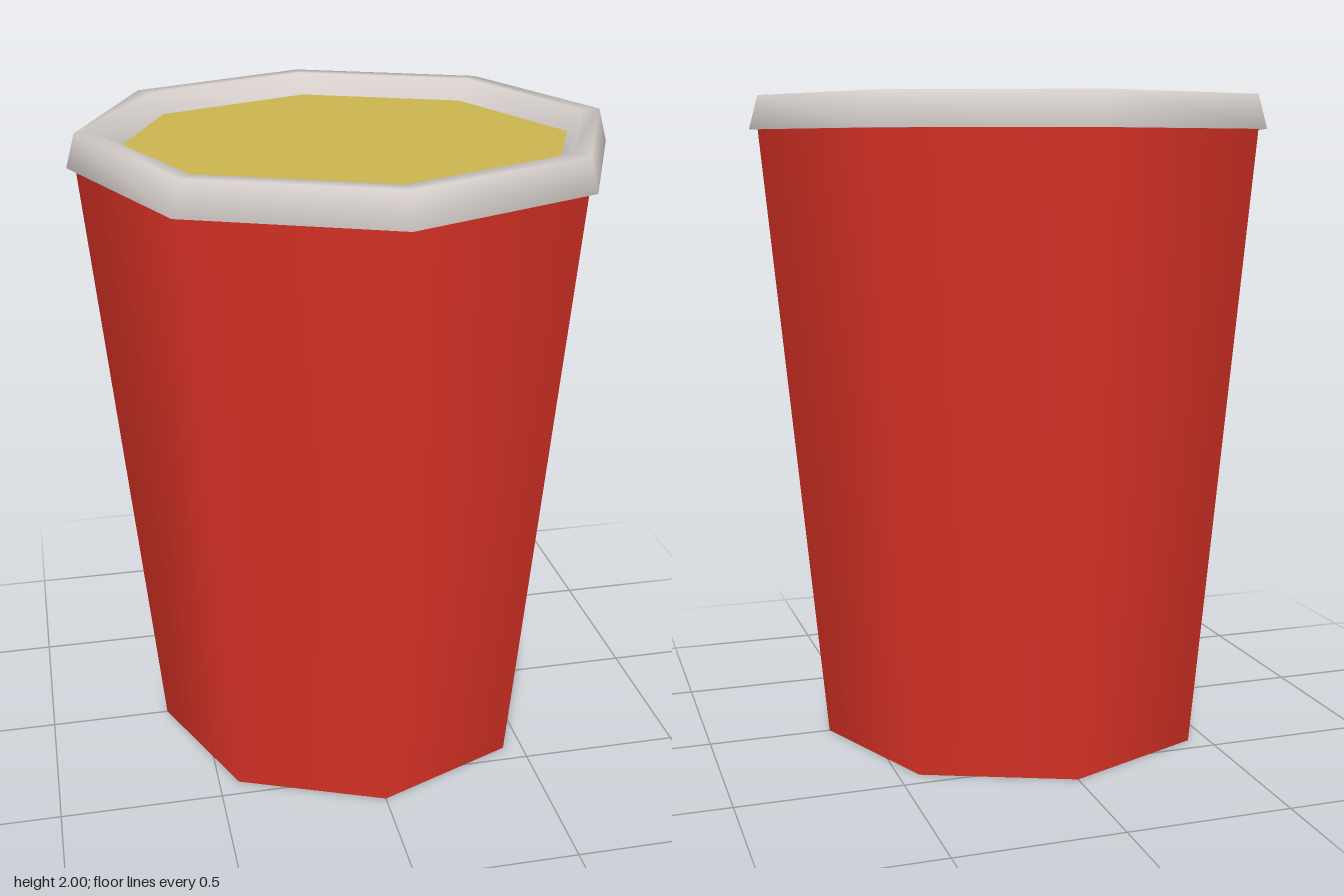
import * as THREE from 'three';

const SIDES = 8;

export function createModel() {
  const cup = new THREE.Group();
  cup.name = 'cup';

  const add = (name, geometry, color) => {
    const mesh = new THREE.Mesh(geometry, new THREE.MeshStandardMaterial({ color }));
    mesh.name = name;
    cup.add(mesh);
    return mesh;
  };
  const disc = (radius, y, up) =>
    new THREE.CircleGeometry(radius, SIDES).rotateX(up ? -Math.PI / 2 : Math.PI / 2).translate(0, y, 0);

  // Tapered eight-sided wall
  const wall = new THREE.CylinderGeometry(0.8, 0.62, 1.91, SIDES, 1, true).translate(0, 0.955, 0);
  add('wall', wall, 0xd93226);

  // Flat base
  add('base', disc(0.62, 0, false), 0xcccccc);

  // Rolled rim: underside, flared outside, crest, then down to the drink
  const profile = [[0.79, 1.9], [0.825, 1.9], [0.797, 2.0], [0.74, 2.0], [0.69, 1.925]]
    .map(([r, y]) => new THREE.Vector2(r, y));
  add('rim', new THREE.LatheGeometry(profile, SIDES), 0xd6cfcc);

  // Surface of the drink
  add('drink', disc(0.7, 1.935, true), 0xc9b44e);

  return cup;
}
